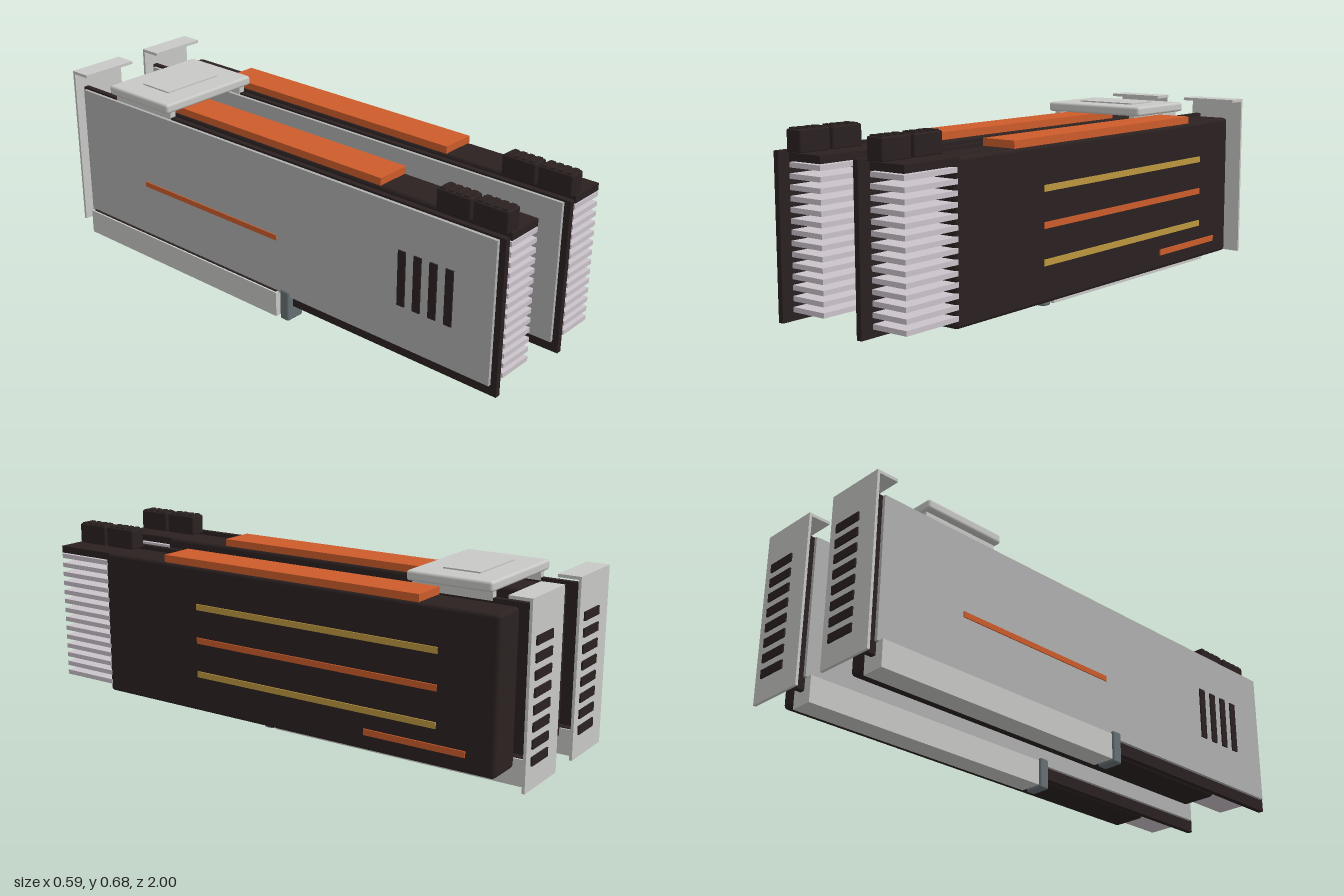
import * as THREE from 'three';
import { RoundedBoxGeometry } from 'three/addons/geometries/RoundedBoxGeometry.js';

const mat = (name, color) => {
  const m = new THREE.MeshStandardMaterial({ color });
  m.name = name;
  return m;
};

export function createModel() {
  const dark = mat('dark shell', 0x2b2121);
  const silver = mat('silver', 0xc8c8c6);
  const plateGrey = mat('backplate grey', 0xb0b0b0);
  const finGrey = mat('fin aluminium', 0xcbc3ca);
  const orange = mat('orange', 0xcd5c2b);
  const gold = mat('gold', 0xbd973f);
  const slate = mat('slate', 0x677074);

  // Box from its limits [x0, x1], [y0, y1], [z0, z1]; r rounds the edges
  const box = (parent, name, material, [x0, x1], [y0, y1], [z0, z1], r = 0) => {
    const s = [x1 - x0, y1 - y0, z1 - z0];
    const geo = r ? new RoundedBoxGeometry(...s, 2, r) : new THREE.BoxGeometry(...s);
    const mesh = new THREE.Mesh(geo, material);
    mesh.name = name;
    mesh.position.set((x0 + x1) / 2, (y0 + y1) / 2, (z0 + z1) / 2);
    parent.add(mesh);
    return mesh;
  };

  const buildCard = (name) => {
    const card = new THREE.Group();
    card.name = name;

    // Circuit board and cooler shroud
    box(card, 'circuitBoard', dark, [-0.263, -0.243], [0.053, 0.61], [-0.967, 1]);
    box(card, 'shroud', dark, [-0.208, -0.068], [0.066, 0.606], [-0.885, 0.76], 0.014);

    // Exposed heatsink fins under a cap
    box(card, 'finCap', dark, [-0.208, -0.068], [0.58, 0.606], [0.74, 0.985]);
    for (let i = 0; i < 14; i++) {
      const y = 0.102 + i * 0.0358;
      box(card, 'fin', finGrey, [-0.208, -0.068], [y - 0.0085, y + 0.0085], [0.75, 0.985]);
    }

    // Backplate with vents and accent line
    box(card, 'backplate', plateGrey, [-0.279, -0.267], [0.095, 0.605], [-0.95, 0.98]);
    for (let i = 0; i < 4; i++) {
      const z = 0.625 + i * 0.063;
      box(card, 'backplateVent', dark, [-0.284, -0.278], [0.25, 0.45], [z - 0.015, z + 0.015]);
    }
    box(card, 'backplateAccent', orange, [-0.283, -0.278], [0.3, 0.32], [-0.61, 0.07]);

    // Stripes on the shroud face: material, height, z limits
    [
      [gold, 0.46, [-0.67, 0.32]],
      [orange, 0.335, [-0.67, 0.32]],
      [gold, 0.208, [-0.67, 0.32]],
      [orange, 0.132, [-0.78, -0.395]],
    ].forEach(([m, y, z]) =>
      box(card, 'shroudStripe', m, [-0.069, -0.063], [y - 0.011, y + 0.011], z));

    // Light bar along the top
    box(card, 'lightBar', orange, [-0.205, -0.073], [0.605, 0.632], [-0.595, 0.47]);

    // Power plugs with ribbed tops
    [[0.71, 0.84], [0.85, 0.978]].forEach(([z0, z1]) => {
      box(card, 'powerPlug', dark, [-0.228, -0.163], [0.604, 0.68], [z0, z1], 0.006);
      for (let i = 0; i < 4; i++) {
        const z = z0 + 0.02 + i * 0.03;
        box(card, 'plugRib', dark, [-0.222, -0.169], [0.67, 0.684], [z - 0.009, z + 0.009]);
      }
    });

    // Rear bracket with folded lip and air slots
    box(card, 'bracket', silver, [-0.291, -0.063], [0.047, 0.675], [-0.994, -0.984]);
    box(card, 'bracketLip', silver, [-0.291, -0.063], [0.664, 0.675], [-0.985, -0.912]);
    for (let i = 0; i < 8; i++) {
      const y = 0.145 + i * 0.056;
      box(card, 'bracketSlot', dark, [-0.211, -0.097], [y - 0.015, y + 0.015], [-1, -0.993]);
    }

    // Motherboard socket with retaining latch
    box(card, 'socket', silver, [-0.294, -0.21], [0.004, 0.098], [-0.94, 0.078]);
    box(card, 'socketChannel', dark, [-0.287, -0.217], [0.092, 0.101], [-0.93, 0.07]);
    box(card, 'latch', slate, [-0.29, -0.213], [0, 0.117], [0.092, 0.132], 0.007);
    return card;
  };

  const model = new THREE.Group();
  model.name = 'linkedGraphicsCards';
  const pitch = 0.355;
  const first = buildCard('firstCard');
  const second = buildCard('secondCard');
  second.position.x = pitch;
  model.add(first, second);

  // Bridge joining the two cards
  const bridge = new THREE.Group();
  bridge.name = 'bridge';
  box(bridge, 'bridgeBody', silver, [-0.29, 0.14], [0.632, 0.668], [-0.78, -0.46], 0.01);
  box(bridge, 'bridgePanel', silver, [-0.2, 0.05], [0.665, 0.673], [-0.69, -0.55]);
  for (const x of [0, pitch]) {
    box(bridge, 'bridgeFoot', silver, [-0.265 + x, -0.241 + x], [0.6, 0.636], [-0.77, -0.47]);
  }
  model.add(bridge);
  return model;
}
